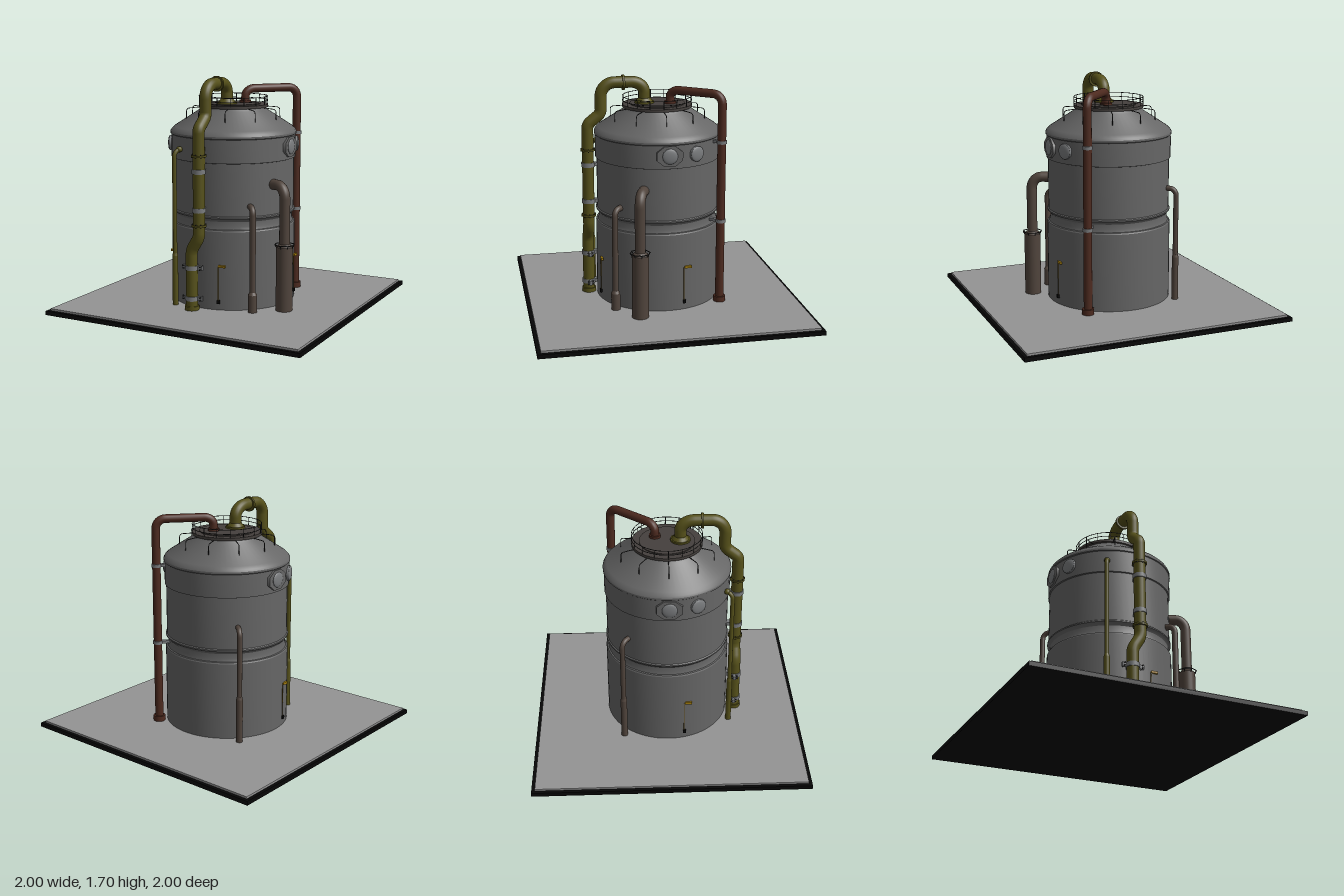
import * as THREE from 'three';
import { toCreasedNormals } from 'three/addons/utils/BufferGeometryUtils.js';

const mat = (color) => new THREE.MeshStandardMaterial({ color });
const PLATE = mat(0x949494), STEEL = mat(0x666666), CLAMP = mat(0x7a7c7e), BLACK = mat(0x060606), DARK = mat(0x242424);
const ROOF = mat(0x45403d), OLIVE = mat(0x56511a), RUST = mat(0x4d2a1f), BROWN = mat(0x50443c);
const YELLOW = mat(0xa8800c), ROD = mat(0x66501a);
const V = (x, y, z) => new THREE.Vector3(x, y, z);

export function createModel() {
  const root = new THREE.Group();

  const add = (name, geo, material, x = 0, y = 0, z = 0, parent = root) => {
    const m = new THREE.Mesh(geo, material);
    m.name = name;
    m.position.set(x, y, z);
    parent.add(m);
    return m;
  };
  const box = (w, h, d) => new THREE.BoxGeometry(w, h, d);
  const cyl = (r, h, n = 24, r2 = r) => new THREE.CylinderGeometry(r2, r, h, n);
  // Upright cylinder between two heights
  const post = (name, r, y0, y1, x, z, material, n = 24, r2 = r) =>
    add(name, cyl(r, y1 - y0, n, r2), material, x, (y0 + y1) / 2, z);
  // Group turned about the upright axis
  const turned = (name, angle, y = 0) => {
    const g = new THREE.Group();
    g.name = name;
    g.rotation.y = angle;
    g.position.y = y;
    root.add(g);
    return g;
  };

  // Pipe through corner points, each inner corner rounded by its bend length
  const pipe = (name, pts, r, bends, material, sides = 16, parent = root) => {
    const path = new THREE.CurvePath();
    let from = pts[0];
    for (let i = 1; i < pts.length - 1; i++) {
      const p = pts[i];
      const trim = (q) => p.clone().add(q.clone().sub(p).setLength(Math.min(bends[i - 1], q.distanceTo(p) * 0.49)));
      const a = trim(pts[i - 1]), b = trim(pts[i + 1]);
      path.add(new THREE.LineCurve3(from, a));
      // Cubic handles give a near-circular bend
      path.add(new THREE.CubicBezierCurve3(a, a.clone().lerp(p, 0.55), b.clone().lerp(p, 0.55), b));
      from = b;
    }
    path.add(new THREE.LineCurve3(from, pts[pts.length - 1]));
    return add(name, new THREE.TubeGeometry(path, 30 * pts.length, r, sides), material, 0, 0, 0, parent);
  };

  // Ground slab
  add('baseSlab', box(2, 0.03, 2), BLACK, 0, 0.015, 0);
  add('basePlate', box(1.95, 0.015, 1.95), PLATE, 0, 0.0375, 0);

  // Tank shell: lower drum, groove, upper drum, band, rim and conical roof
  const profile = [
    [0.457, 0.04], [0.457, 0.615], [0.452, 0.625], [0.442, 0.628], [0.436, 0.65], [0.436, 0.685],
    [0.445, 0.7], [0.456, 0.708], [0.456, 0.718], [0.448, 0.724], [0.448, 1.1], [0.458, 1.103],
    [0.458, 1.27], [0.464, 1.275], [0.464, 1.29], [0.456, 1.305], [0.435, 1.325],
    [0.25, 1.445], [0.235, 1.465], [0, 1.465],
  ].map(([r, y]) => new THREE.Vector2(r, y));
  add('tankShell', toCreasedNormals(new THREE.LatheGeometry(profile, 64), 0.45), STEEL);

  // Roof platform with its railing
  post('roofPlatform', 0.255, 1.465, 1.485, 0, 0, ROOF, 48);
  post('roofPlate', 0.2, 1.485, 1.492, 0, 0, ROOF, 48);
  for (const y of [1.512, 1.543])
    add('rail', new THREE.TorusGeometry(0.253, 0.0025, 6, 48).rotateX(Math.PI / 2), DARK, 0, y, 0);
  for (let i = 0; i < 16; i++) {
    const a = (i / 16) * Math.PI * 2;
    post('railPost', 0.0025, 1.475, 1.543, 0.253 * Math.cos(a), 0.253 * Math.sin(a), DARK, 6);
  }

  // Ten hooked braces from platform to roof cone
  for (let i = 0; i < 10; i++)
    pipe('braceRod', [V(0.24, 1.465, 0), V(0.346, 1.455, 0), V(0.348, 1.375, 0)], 0.003, [0.02], DARK, 6,
      turned('roofBrace', (i / 10) * Math.PI * 2));

  // Domed hatches, two on each side, one of each pair on an octagonal flange
  for (const side of [0, Math.PI])
    for (const [turn, flanged] of [[0, true], [0.45, false]]) {
      const g = turned('hatch', side + turn, 1.195);
      if (flanged)
        add('hatchFlange', cyl(0.1, 0.035, 8).rotateY(Math.PI / 8).rotateZ(Math.PI / 2).scale(1, 0.78, 1),
          STEEL, 0.452, 0, 0, g);
      add('hatchNeck', cyl(0.056, 0.06).rotateZ(Math.PI / 2), CLAMP, 0.441, 0, 0, g);
      add('hatchDome', new THREE.SphereGeometry(0.055, 24, 16).scale(0.25, 1, 1), CLAMP, 0.47, 0, 0, g);
    }

  // Small drain levers on front, right and left walls
  for (const turn of [0, Math.PI / 2, -Math.PI / 2]) {
    const g = turned('drainLever', turn);
    add('leverRod', cyl(0.003, 0.26, 6), ROD, 0.11, 0.235, 0.446, g);
    add('leverFoot', box(0.02, 0.025, 0.02), BLACK, 0.113, 0.105, 0.446, g);
    add('leverHandle', box(0.05, 0.016, 0.016), YELLOW, 0.14, 0.367, 0.443, g);
  }

  // Stand pipes: thick sleeve, thinner riser and an elbow turning into the wall
  const standPipe = (name, x, z, rLow, yLow, rUp, yTop, bend, material) => {
    const k = 0.42 / Math.hypot(x, z);
    post(name + 'Sleeve', rLow, 0.04, yLow, x, z, material);
    post(name + 'Taper', rLow, yLow, yLow + 0.02, x, z, material, 24, rUp);
    pipe(name, [V(x, yLow, z), V(x, yTop, z), V(x * k, yTop, z * k)], rUp, [bend], material);
  };
  standPipe('largeStandPipe', 0.527, 0.225, 0.06, 0.51, 0.038, 0.942, 0.09, BROWN);
  standPipe('smallStandPipe', 0.35, 0.375, 0.033, 0.17, 0.022, 0.795, 0.05, BROWN);
  standPipe('backStandPipe', -0.395, -0.335, 0.024, 0.37, 0.019, 0.885, 0.05, BROWN);
  standPipe('thinStandPipe', -0.235, 0.46, 0.021, 0.41, 0.016, 1.18, 0.05, OLIVE);
  add('thinPipeElbowCollar', new THREE.SphereGeometry(0.022, 16, 12), OLIVE, -0.215, 1.182, 0.422);

  // Open octagonal crown on the large sleeve
  const crown = turned('sleeveCrown', 0);
  crown.position.set(0.527, 0.525, 0.225);
  add('crownRing', new THREE.TorusGeometry(0.072, 0.0035, 6, 8).rotateX(Math.PI / 2), DARK, 0, 0, 0, crown);
  for (let i = 0; i < 8; i++) {
    const a = (i / 8) * Math.PI * 2;
    const spoke = (r, y) => V(r * Math.cos(a), y, r * Math.sin(a));
    add('crownSpoke', new THREE.TubeGeometry(new THREE.LineCurve3(spoke(0.055, -0.025), spoke(0.072, 0)), 1, 0.003, 6),
      DARK, 0, 0, 0, crown);
  }

  // Main pipe from ground, up the front wall and over onto the roof
  pipe('mainPipe', [
    V(-0.065, 0.04, 0.515), V(-0.065, 0.48, 0.515), V(-0.003, 0.58, 0.515), V(-0.003, 1.345, 0.515),
    V(-0.003, 1.425, 0.415), V(-0.003, 1.648, 0.415), V(-0.003, 1.648, 0.095), V(-0.003, 1.49, 0.095),
  ], 0.043, [0.03, 0.03, 0.025, 0.03, 0.1, 0.1], OLIVE, 20);
  post('mainPipeFoot', 0.052, 0.04, 0.075, -0.065, 0.515, OLIVE);
  for (const y of [0.665, 1.16]) {
    add('mainPipeFlange', cyl(0.054, 0.014), OLIVE, -0.003, y, 0.515);
    for (let i = 0; i < 8; i++) {
      const a = (i / 8) * Math.PI * 2;
      add('flangeBolt', cyl(0.005, 0.024, 6), DARK, -0.003 + 0.049 * Math.cos(a), y, 0.515 + 0.049 * Math.sin(a));
    }
  }
  add('topFlange', cyl(0.056, 0.016).rotateX(Math.PI / 2), OLIVE, -0.003, 1.645, 0.25);
  post('roofFlange', 0.072, 1.485, 1.505, -0.003, 0.095, OLIVE);
  post('roofFlangeNeck', 0.062, 1.505, 1.53, -0.003, 0.095, OLIVE, 24, 0.044);

  // Main pipe clamps; the lower pair have bolted ears
  for (const [x, y, ears] of [[-0.065, 0.13, true], [-0.065, 0.355, true], [-0.003, 0.775, false], [-0.003, 1.05, false]]) {
    add('pipeClamp', cyl(0.049, 0.032), CLAMP, x, y, 0.515);
    add('clampArm', box(0.04, 0.026, 0.08), CLAMP, x, y, 0.45);
    if (!ears) continue;
    add('clampEars', box(0.165, 0.03, 0.02), CLAMP, x + 0.005, y, 0.51);
    for (const s of [-1, 1])
      for (const dy of [-0.01, 0.01])
        add('clampBolt', cyl(0.005, 0.045, 6).rotateX(Math.PI / 2), DARK, x + 0.005 + s * 0.068, y + dy, 0.51);
  }

  // Rust pipe from the roof down the back right side
  pipe('rustPipe', [V(0.055, 1.48, -0.085), V(0.055, 1.592, -0.085), V(0.328, 1.592, -0.405), V(0.328, 0.04, -0.405)],
    0.031, [0.07, 0.07], RUST);
  post('rustPipeFoot', 0.044, 0.04, 0.085, 0.328, -0.405, RUST);
  post('rustRoofFlange', 0.042, 1.485, 1.51, 0.055, -0.085, RUST);
  for (const y of [0.665, 1.25]) {
    add('rustPipeClamp', cyl(0.036, 0.024), CLAMP, 0.328, y, -0.405);
    const arm = add('rustClampArm', box(0.1, 0.02, 0.03), CLAMP, 0.296, y, -0.366);
    arm.rotation.y = Math.atan2(0.405, 0.328);
  }

  return root;
}
